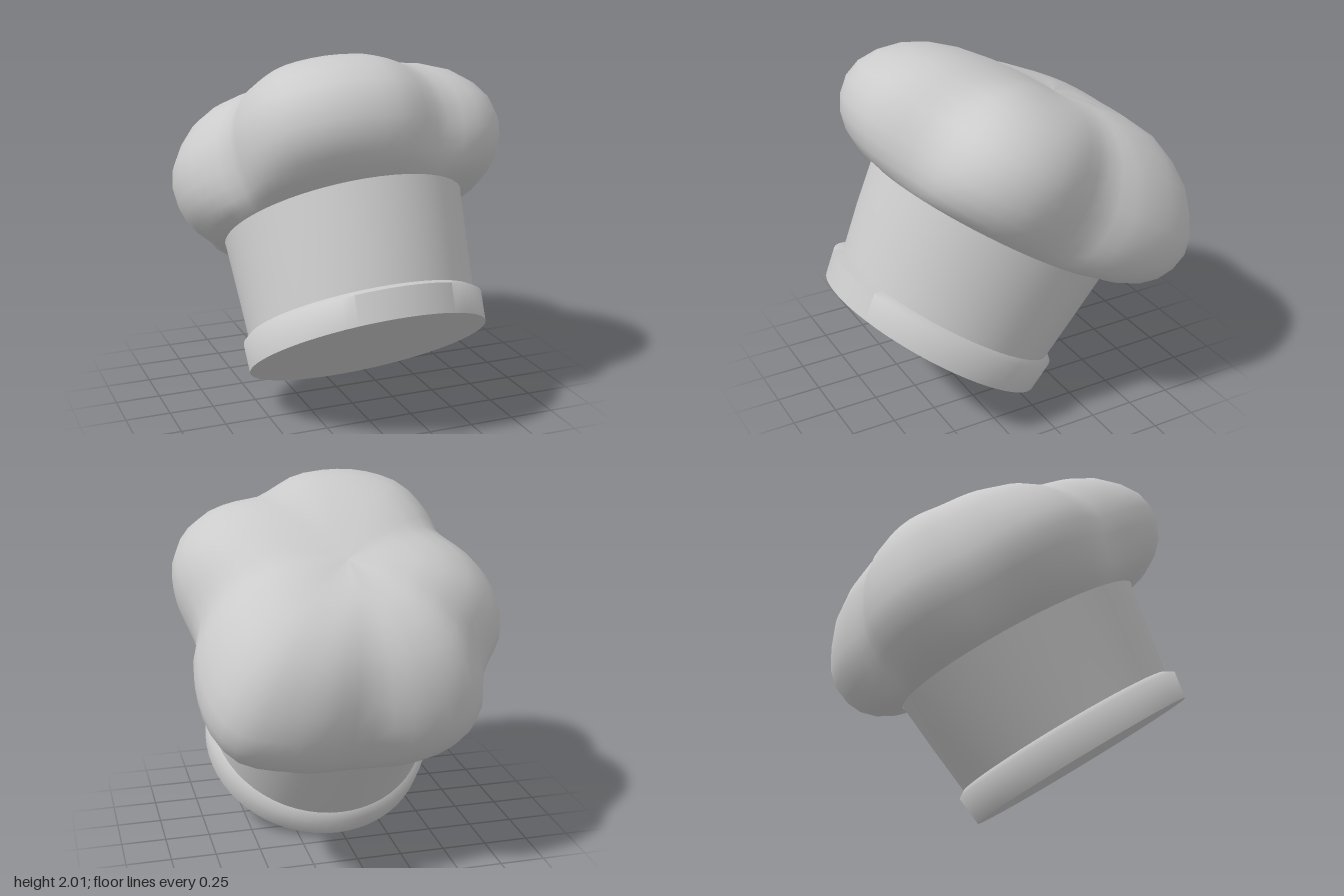
import * as THREE from 'three';
import { toCreasedNormals } from 'three/addons/utils/BufferGeometryUtils.js';

const N = 60;

// Skin a stack of closed rings (each an array of N Vector3, counted from +x towards +z, going up)
function loft(rings) {
  const pos = rings.flat().flatMap((p) => [p.x, p.y, p.z]);
  const index = [];
  for (let i = 0; i < rings.length - 1; i++) {
    for (let j = 0; j < N; j++) {
      const a = i * N + j, b = i * N + (j + 1) % N;
      index.push(a, a + N, b, b, a + N, b + N);
    }
  }
  const g = new THREE.BufferGeometry();
  g.setAttribute('position', new THREE.Float32BufferAttribute(pos, 3));
  g.setIndex(index);
  g.computeVertexNormals();
  return g;
}

// Oval ring: height, half width, half depth, depth offset, slope from back to front
function oval(y, rx, rz, cz = 0, slope = 0) {
  return Array.from({ length: N }, (_, j) => {
    const a = (j / N) * Math.PI * 2, z = cz + rz * Math.sin(a);
    return new THREE.Vector3(0.03 + rx * Math.cos(a), y + slope * z, z);
  });
}

export function createModel() {
  const model = new THREE.Group();
  const hat = new THREE.Group();
  hat.name = 'tiltedHat';
  hat.position.set(0, 0.385, 0.4);
  hat.rotation.x = -0.571;
  model.add(hat);

  const material = new THREE.MeshStandardMaterial({ color: 0xcccccc });
  const add = (name, geometry) => {
    const mesh = new THREE.Mesh(geometry, material);
    mesh.name = name;
    hat.add(mesh);
  };

  // Head band with a closed underside and a soft step at its top
  add('headBand', toCreasedNormals(loft([
    oval(0, 0, 0),
    oval(0, 0.66, 0.68, 0, 0.03),
    oval(0.16, 0.665, 0.71, 0.005, 0.02),
    oval(0.195, 0.625, 0.65, 0, 0.02),
  ]), 1.25));

  // Flaring sleeve
  add('sleeve', loft([
    oval(0.17, 0.63, 0.66, 0, 0.02),
    oval(0.46, 0.645, 0.715, 0.01),
    oval(0.78, 0.665, 0.765, 0.02),
  ]));

  // Five-lobed plan of the puffed crown, as x and depth
  const plan = [
    [0.80, 0], [0.84, 0.175], [0.88, 0.34], [0.86, 0.53], [0.76, 0.7], [0.62, 0.79],
    [0.4, 0.84], [0.25, 0.94], [0.1, 1.03], [-0.15, 1.06], [-0.35, 1.02], [-0.55, 0.89],
    [-0.66, 0.6], [-0.67, 0.44], [-0.78, 0.28], [-0.86, 0.13], [-0.88, -0.04],
    [-0.84, -0.21], [-0.72, -0.38], [-0.65, -0.5], [-0.62, -0.63], [-0.53, -0.76],
    [-0.37, -0.84], [-0.18, -0.86], [0.05, -0.81], [0.28, -0.86], [0.5, -0.85],
    [0.72, -0.78], [0.82, -0.63], [0.86, -0.4], [0.85, -0.2],
  ].map(([x, z]) => new THREE.Vector3(x, 0, z));
  const outline = new THREE.CatmullRomCurve3(plan, true).getSpacedPoints(N).slice(0, N);

  // Crown rings: height, scale of the plan, blend from the sleeve's oval to the plan,
  // and extra height of the back half
  const crown = [
    [0.74, 1, 0, 0], [0.77, 1, 0.35, 0], [0.82, 1, 0.62, 0], [0.89, 1, 0.83, 0],
    [0.97, 1, 0.95, 0], [1.07, 1, 1, 0], [1.17, 0.98, 1, 0], [1.27, 0.92, 1, 0.01],
    [1.36, 0.83, 1, 0.04], [1.43, 0.71, 1, 0.06], [1.48, 0.56, 1, 0.08],
    [1.51, 0.38, 1, 0.07], [1.52, 0.2, 1, 0.04], [1.52, 0, 1, 0],
  ].map(([y, s, blend, lift]) => outline.map((p) => {
    const cz = 0.04, a = Math.atan2((p.z - cz) / 0.765, (p.x - 0.03) / 0.665);
    const rim = new THREE.Vector3(0.03 + 0.665 * Math.cos(a), y, 0.02 + 0.765 * Math.sin(a));
    const back = THREE.MathUtils.smoothstep(-Math.sin(a), -0.6, 0.8);
    const puff = new THREE.Vector3(0.03 + (p.x - 0.03) * s, y + lift * back, cz + (p.z - cz) * s);
    return rim.lerp(puff, blend);
  }));
  add('puffedCrown', loft(crown));

  return model;
}
